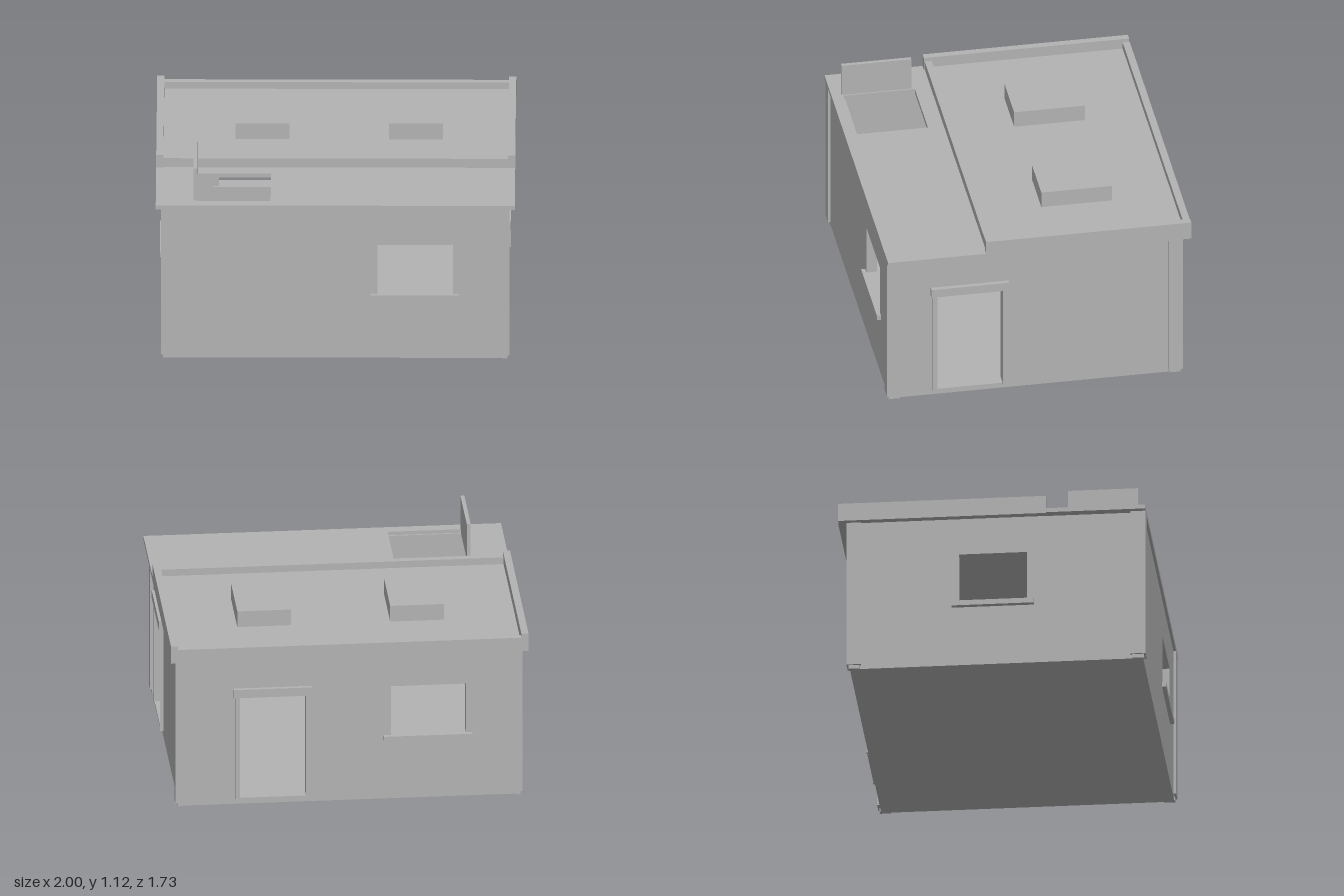
import * as THREE from 'three';

export function createModel() {
  const model = new THREE.Group();
  model.name = 'building';
  const grey = new THREE.MeshStandardMaterial({ color: 0xb2b2b2 });
  grey.name = 'plain grey';

  const add = (name, geometry) => {
    const mesh = new THREE.Mesh(geometry, grey);
    mesh.name = name;
    model.add(mesh);
    return mesh;
  };
  // Box given by its limits on each axis
  const box = (name, x0, x1, y0, y1, z0, z1) => {
    const g = new THREE.BoxGeometry(x1 - x0, y1 - y0, z1 - z0);
    g.translate((x0 + x1) / 2, (y0 + y1) / 2, (z0 + z1) / 2);
    return add(name, g);
  };
  // Flat panel with rectangular openings [u0, u1, v0, v1]
  const panel = (u0, u1, v0, v1, depth, openings) => {
    const rect = (P, a, b, c, d) => {
      const p = new P();
      p.moveTo(a, c).lineTo(b, c).lineTo(b, d).lineTo(a, d).closePath();
      return p;
    };
    const shape = rect(THREE.Shape, u0, u1, v0, v1);
    for (const o of openings) shape.holes.push(rect(THREE.Path, ...o));
    return new THREE.ExtrudeGeometry(shape, { depth, bevelEnabled: false });
  };

  const T = 0.06, X = 0.95, ZF = 0.84, ZB = -0.8, H = 0.9, FLOOR = 0.035;
  const SILL = 0.37, WIN = 0.68, DOOR = 0.65;

  // Floor and walls
  box('floor', -X + 0.01, X - 0.01, 0, FLOOR, ZB + 0.01, ZF - 0.01);
  add('frontWall', panel(-X, X, 0, H, T, [[0.235, 0.655, SILL, WIN]]).translate(0, 0, ZF - T));
  add('backWall', panel(-X, X, 0, H, T,
    [[-0.655, -0.235, SILL, WIN], [0.24, 0.61, FLOOR, DOOR]]).translate(0, 0, ZB));
  const sideWall = (name, x, opening) => add(name,
    panel(ZB + T, ZF - T, 0, H, T, [opening]).rotateY(-Math.PI / 2).translate(x, 0, 0));
  sideWall('rightWall', X, [0.2, 0.57, FLOOR, DOOR]);
  sideWall('leftWall', -X + T, [-0.19, 0.19, SILL, WIN]);

  // Corner pilasters on small feet
  for (const s of [-1, 1]) {
    const post = (name, inset, y0, y1, xIn) => {
      const a = s * xIn, b = s * (0.97 - inset);
      const x0 = Math.min(a, b), x1 = Math.max(a, b);
      const back = xIn === 0.89 ? -0.737 : -0.745, front = xIn === 0.89 ? 0.77 : 0.78;
      box(name + 'Front', x0, x1, y0, y1, front, 0.855 - inset);
      box(name + 'Back', x0, x1, y0, y1, -0.818 + inset, back);
    };
    post('cornerPost', 0, 0.022, 0.896, 0.89);
    post('postFoot', 0.01, 0, 0.022, 0.93);
  }

  // Window sills, running through the wall
  box('frontSill', 0.195, 0.69, 0.355, 0.385, ZF - T - 0.015, 0.863);
  box('backSill', -0.69, -0.195, 0.355, 0.385, -0.826, ZB + T + 0.015);
  box('leftSill', -0.98, -X + T + 0.015, 0.355, 0.385, -0.23, 0.23);

  // Door surrounds: two jambs and a head
  const jambs = [[0, 0.025], [0.395, 0.42]];
  for (const [a, b] of jambs) {
    box('rightDoorJamb', X - T, 0.967, 0.03, DOOR, 0.175 + a, 0.175 + b);
    box('backDoorJamb', 0.215 + a, 0.215 + b, 0.03, DOOR, -0.815, ZB + T);
  }
  box('rightDoorHead', X - T, 0.976, DOOR, 0.7, 0.165, 0.605);
  box('backDoorHead', 0.205, 0.645, DOOR, 0.7, -0.822, ZB + T);
  box('rightDoorThreshold', X - T, 0.963, 0.028, 0.04, 0.2, 0.57);
  box('backDoorThreshold', 0.24, 0.61, 0.028, 0.04, -0.812, ZB + T);

  // Low front roof with hatch opening and its raised lid
  add('frontRoof', panel(-1, 1, 0.29, 0.855, 0.025, [[-0.77, -0.36, 0.385, 0.79]])
    .rotateX(Math.PI / 2).translate(0, 0.921, 0));
  box('hatchLid', -0.79, -0.768, 0.928, 1.12, 0.405, 0.8);

  // Raised rear roof, parapets and skylights
  box('rearRoof', -0.97, 0.97, 0.9, 0.935, -0.83, 0.29);
  for (const s of [-1, 1]) {
    box('sideParapet', s < 0 ? -1 : 0.96, s < 0 ? -0.96 : 1, 0.892, 0.997, -0.862, 0.3);
  }
  box('frontParapet', -0.96, 0.96, 0.9, 0.975, 0.255, 0.295);
  box('backParapet', -0.96, 0.96, 0.895, 0.975, -0.865, -0.825);
  for (const x of [-0.41, 0.445]) {
    box('skylight', x - 0.15, x + 0.15, 0.93, 1.03, -0.485, -0.085);
  }

  // Low crate in the inner corner
  box('crate', -0.89, -0.78, FLOOR, 0.27, 0.535, 0.78);
  return model;
}
